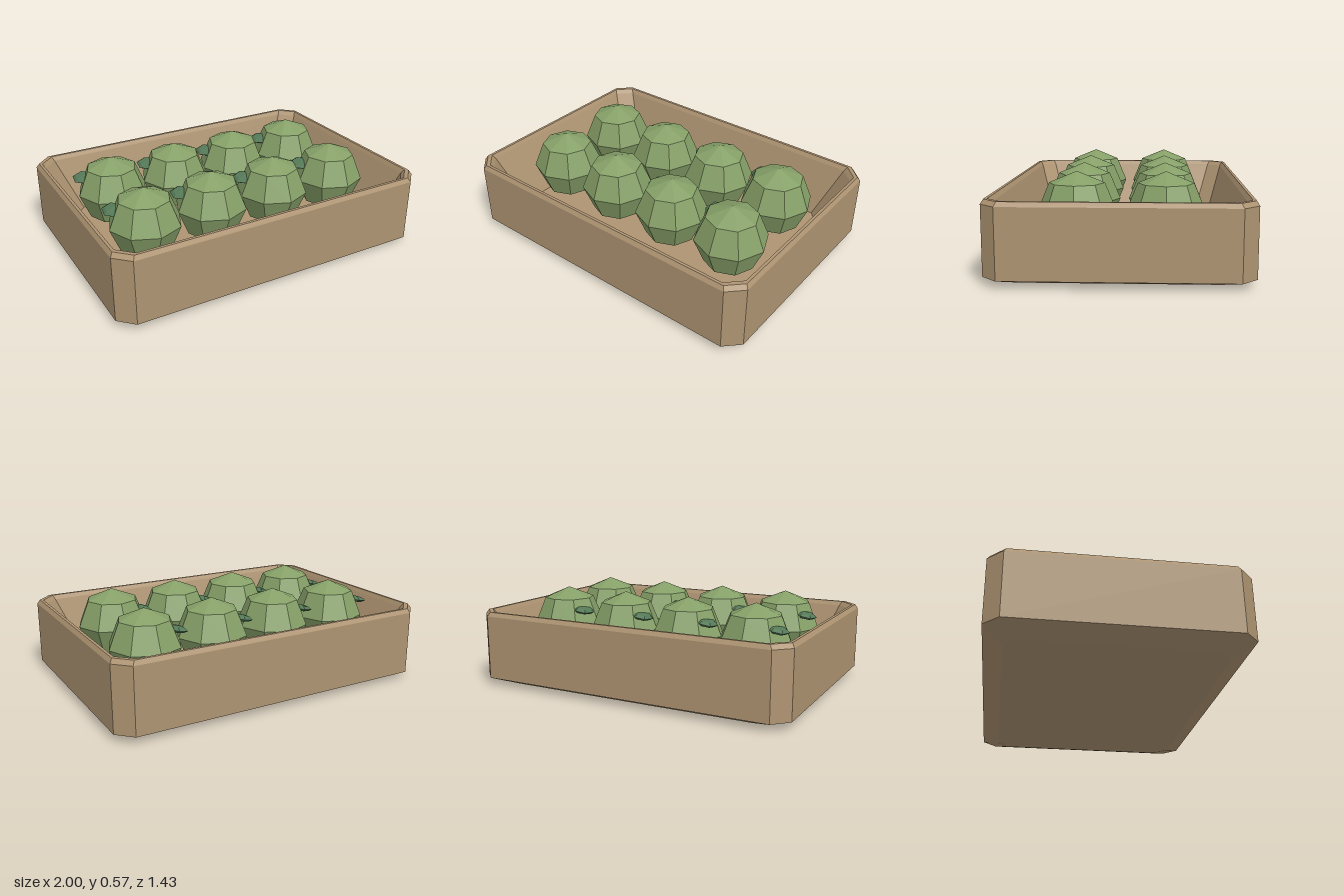
import * as THREE from 'three';

// Rectangle with cut corners, counter-clockwise seen from above
function ring(hx, hz, cut, y) {
  const pts = [
    [hx, hz - cut], [hx, cut - hz], [hx - cut, -hz], [cut - hx, -hz],
    [-hx, cut - hz], [-hx, hz - cut], [cut - hx, hz], [hx - cut, hz],
  ];
  return pts.map(([x, z]) => new THREE.Vector3(x, y, z));
}

// Joins successive rings with flat faces and caps both ends
function loft(rings) {
  const pos = [];
  const tri = (a, b, c) => [a, b, c].forEach((p) => pos.push(p.x, p.y, p.z));
  const n = rings[0].length;
  for (let r = 0; r < rings.length - 1; r++) {
    const lo = rings[r], hi = rings[r + 1];
    for (let i = 0; i < n; i++) {
      const j = (i + 1) % n;
      tri(lo[i], lo[j], hi[j]);
      tri(lo[i], hi[j], hi[i]);
    }
  }
  const first = rings[0], last = rings[rings.length - 1];
  for (let i = 1; i < n - 1; i++) {
    tri(first[0], first[i + 1], first[i]);
    tri(last[0], last[i], last[i + 1]);
  }
  const geo = new THREE.BufferGeometry();
  geo.setAttribute('position', new THREE.Float32BufferAttribute(pos, 3));
  geo.computeVertexNormals();
  return geo;
}

function flatSphere(radius, sides, rows) {
  const geo = new THREE.SphereGeometry(radius, sides, rows).toNonIndexed();
  geo.computeVertexNormals();
  return geo;
}

export function createModel() {
  const model = new THREE.Group();
  model.name = 'cabbageTray';
  const material = (name, color) => {
    const m = new THREE.MeshStandardMaterial({ color });
    m.name = name;
    return m;
  };
  const wood = material('tan wood', 0xae9472);
  const green = material('cabbage green', 0x86a068);
  const darkGreen = material('dark leaf green', 0x557a58);

  // Tray: outside from the base up, over the rim, then down to the floor
  const tray = new THREE.Mesh(loft([
    ring(0.858, 0.61, 0.08, 0),
    ring(1, 0.715, 0.087, 0.045),
    ring(1, 0.715, 0.087, 0.43),
    ring(0.985, 0.7, 0.085, 0.455),
    ring(0.968, 0.683, 0.085, 0.455),
    ring(0.955, 0.668, 0.085, 0.43),
    ring(0.82, 0.57, 0.085, 0.1),
  ]), wood);
  tray.name = 'tray';
  model.add(tray);

  // Two rows of four heads, each with one loose leaf
  const headGeo = flatSphere(0.217, 8, 4);
  const leafGeo = flatSphere(1, 6, 4);
  for (const z of [-0.243, 0.243]) {
    for (let i = 0; i < 4; i++) {
      const cabbage = new THREE.Group();
      cabbage.name = 'cabbage';
      cabbage.position.set(-0.642 + i * 0.428, 0.354, z);

      const head = new THREE.Mesh(headGeo, green);
      head.name = 'head';

      const leaf = new THREE.Mesh(leafGeo, darkGreen);
      leaf.name = 'leaf';
      leaf.scale.set(0.065, 0.02, 0.085);
      leaf.rotation.set(0, 0.25, 0.2);
      leaf.position.set(-0.158, 0.088, -0.068);

      cabbage.add(head, leaf);
      model.add(cabbage);
    }
  }
  return model;
}
